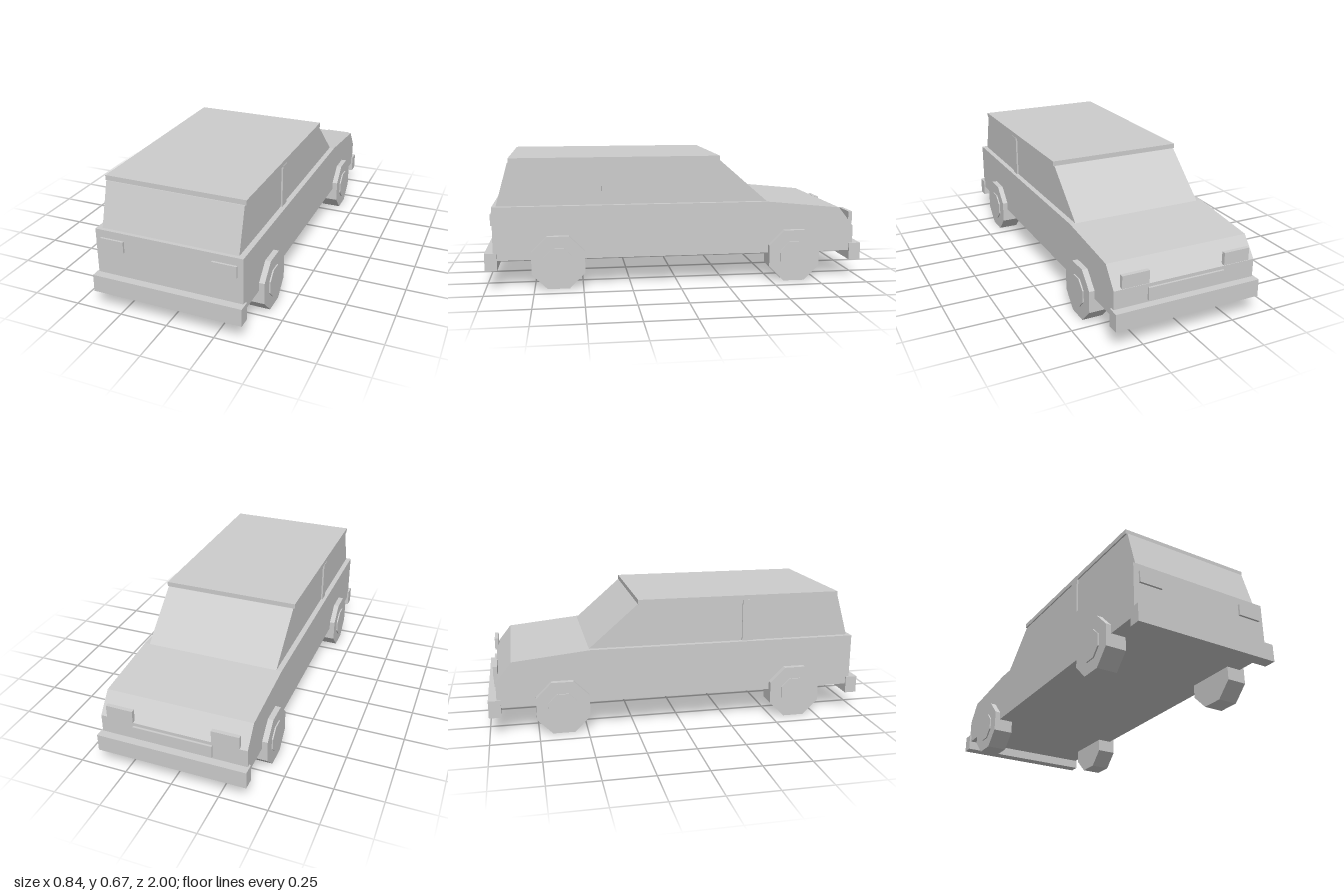
import * as THREE from 'three';

export function createModel() {
  const car = new THREE.Group();
  car.name = 'car';
  const grey = new THREE.MeshStandardMaterial({ color: 0xcccccc, flatShading: true });
  grey.name = 'plainGrey';

  const add = (name, geometry, x = 0, y = 0, z = 0) => {
    const mesh = new THREE.Mesh(geometry, grey);
    mesh.name = name;
    mesh.position.set(x, y, z);
    car.add(mesh);
    return mesh;
  };

  // Box given by its lower and upper corners
  const box = (name, [x0, y0, z0], [x1, y1, z1]) =>
    add(name, new THREE.BoxGeometry(x1 - x0, y1 - y0, z1 - z0),
      (x0 + x1) / 2, (y0 + y1) / 2, (z0 + z1) / 2);

  // Side profile of [z, y] points, extruded across the car
  const profile = (name, points, width) => {
    const shape = new THREE.Shape(points.map(([z, y]) => new THREE.Vector2(z, y)));
    const geometry = new THREE.ExtrudeGeometry(shape, { depth: width, bevelEnabled: false });
    geometry.translate(0, 0, -width / 2).rotateY(-Math.PI / 2);
    return add(name, geometry);
  };

  // Lower body with sloping bonnet towards -z
  profile('body', [
    [0.957, 0.15], [0.957, 0.427], [-0.48, 0.427],
    [-0.876, 0.387], [-0.957, 0.285], [-0.957, 0.15],
  ], 0.766);

  // Cabin and roof
  profile('cabin', [[0.937, 0.427], [0.873, 0.648], [-0.225, 0.648], [-0.48, 0.427]], 0.71);
  box('roof', [-0.362, 0.648, -0.222], [0.362, 0.673, 0.868]);

  // Bumpers, grille
  box('tailBumper', [-0.392, 0.1, 0.937], [0.392, 0.191, 1]);
  box('noseBumper', [-0.392, 0.1, -1], [0.392, 0.191, -0.937]);
  box('grille', [-0.207, 0.204, -0.969], [0.207, 0.268, -0.95]);

  // Octagonal wheel lying along x, flat side down
  const disc = (apothem, width) =>
    new THREE.CylinderGeometry(apothem / Math.cos(Math.PI / 8), apothem / Math.cos(Math.PI / 8), width, 8)
      .rotateY(Math.PI / 8).rotateZ(Math.PI / 2);

  for (const side of [-1, 1]) {
    const mirrored = (name, x0, x1, y0, y1, z0, z1) =>
      box(name, [Math.min(side * x0, side * x1), y0, z0], [Math.max(side * x0, side * x1), y1, z1]);
    mirrored('pillar', 0.35, 0.364, 0.427, 0.648, 0.338, 0.397);
    mirrored('tailLight', 0.23, 0.354, 0.327, 0.387, 0.95, 0.968);
    mirrored('headlight', 0.204, 0.345, 0.292, 0.357, -0.966, -0.945);

    for (const z of [-0.624, 0.627]) {
      add('wheel', disc(0.137, 0.108), side * 0.358, 0.137, z);
      add('hub', disc(0.075, 0.02), side * 0.409, 0.137, z);
    }
  }
  return car;
}
